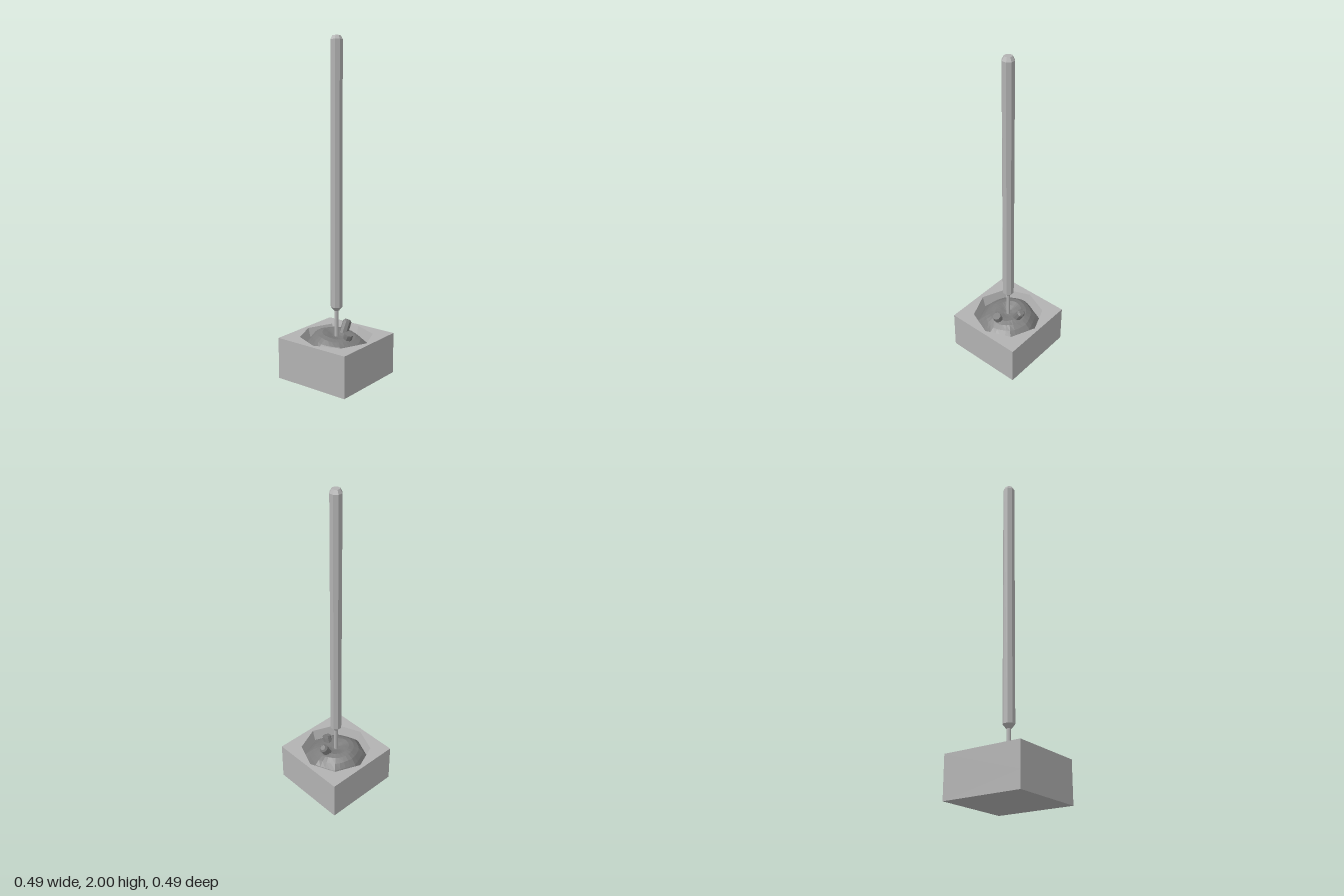
import * as THREE from 'three';

const metal = new THREE.MeshStandardMaterial({ color: 0xb2b2b2, flatShading: true });
metal.name = 'light grey metal';
const metalInside = metal.clone();
metalInside.side = THREE.BackSide;
const sand = new THREE.MeshStandardMaterial({ color: 0x7c7c7c, flatShading: true });
sand.name = 'dark grey sand';

function add(parent, name, geometry, material, y = 0) {
  const mesh = new THREE.Mesh(geometry, material);
  mesh.name = name;
  mesh.position.y = y;
  parent.add(mesh);
  return mesh;
}

// Eight-sided turned part, flat side to the front
function octagonLathe(points) {
  return new THREE.LatheGeometry(points.map(([r, y]) => new THREE.Vector2(r, y)), 8, Math.PI / 8);
}

// Radius of the recess octagon in a given direction
function octagonRadius(angle, corner) {
  const step = Math.PI / 4;
  const a = ((angle % step) + step) % step - step / 2;
  return corner * Math.cos(step / 2) / Math.cos(a);
}

// Uneven heap filling the recess, dipped in the middle and higher at the back
function heapGeometry() {
  const rings = [[0, 0.247], [0.14, 0.249], [0.28, 0.257], [0.44, 0.264], [0.6, 0.256], [0.76, 0.238], [0.89, 0.212], [1, 0.183]];
  const segments = 32;
  const positions = [], index = [];
  rings.forEach(([t, y], i) => {
    for (let j = 0; j <= segments; j++) {
      const a = (j / segments) * Math.PI * 2;
      const round = 0.19 * t, fitted = octagonRadius(a, 0.2) * t;
      const r = THREE.MathUtils.lerp(round, fitted, t ** 4);
      const x = Math.sin(a) * r, z = Math.cos(a) * r;
      const inner = 1 - t ** 4;
      const ripple = 0.004 * Math.sin(a * 5 + i) * t;
      positions.push(x, y + inner * (ripple - 0.14 * z), z);
      if (i > 0 && j < segments) {
        const p = (i - 1) * (segments + 1) + j, q = p + segments + 1;
        index.push(p, q, q + 1);
        if (i > 1) index.push(p, q + 1, p + 1);
      }
    }
  });
  const g = new THREE.BufferGeometry();
  g.setAttribute('position', new THREE.Float32BufferAttribute(positions, 3));
  g.setIndex(index);
  g.computeVertexNormals();
  return g;
}

export function createModel() {
  const model = new THREE.Group();
  model.name = 'postInBox';

  // Square box with an octagonal recess
  const s = 0.245;
  const rim = new THREE.Shape([[-s, -s], [s, -s], [s, s], [-s, s]].map(([x, y]) => new THREE.Vector2(x, y)));
  const corners = [];
  for (let i = 0; i < 8; i++) {
    const a = -i * Math.PI / 4;
    corners.push(new THREE.Vector2(Math.cos(a) * 0.22, Math.sin(a) * 0.22));
  }
  rim.holes.push(new THREE.Path(corners));
  const rimGeometry = new THREE.ExtrudeGeometry(rim, { depth: 0.15, bevelEnabled: false });
  rimGeometry.rotateX(-Math.PI / 2);
  add(model, 'boxRim', rimGeometry, metal, 0.1);
  add(model, 'boxBase', new THREE.BoxGeometry(2 * s, 0.1, 2 * s), metal, 0.05);
  add(model, 'recessWall', new THREE.CylinderGeometry(0.22, 0.2, 0.07, 8, 1, true), metalInside, 0.215);

  add(model, 'heap', heapGeometry(), sand);

  // Pole on a thin stem
  add(model, 'stem', octagonLathe([[0.013, 0.15], [0.013, 0.41]]), metal);
  add(model, 'pole', octagonLathe([[0, 0.405], [0.014, 0.405], [0.036, 0.43], [0.036, 1.978], [0.023, 2], [0, 2]]), metal);

  // Two stubs leaning out of the heap
  const stubs = [
    { name: 'leftStub', tip: [0.112, 0.32, 0], axis: [0.5, 0.86, 0], chamfer: 0.017 },
    { name: 'frontStub', tip: [-0.01, 0.283, 0.1], axis: [-0.05, 0.9, 0.36], chamfer: 0.026 },
  ];
  for (const { name, tip, axis, chamfer } of stubs) {
    const stub = add(model, name, octagonLathe([[0, -0.11], [0.027, -0.11], [0.027, -0.012], [chamfer, 0], [0, 0]]), sand);
    stub.position.set(...tip);
    stub.quaternion.setFromUnitVectors(new THREE.Vector3(0, 1, 0), new THREE.Vector3(...axis).normalize());
  }
  return model;
}
